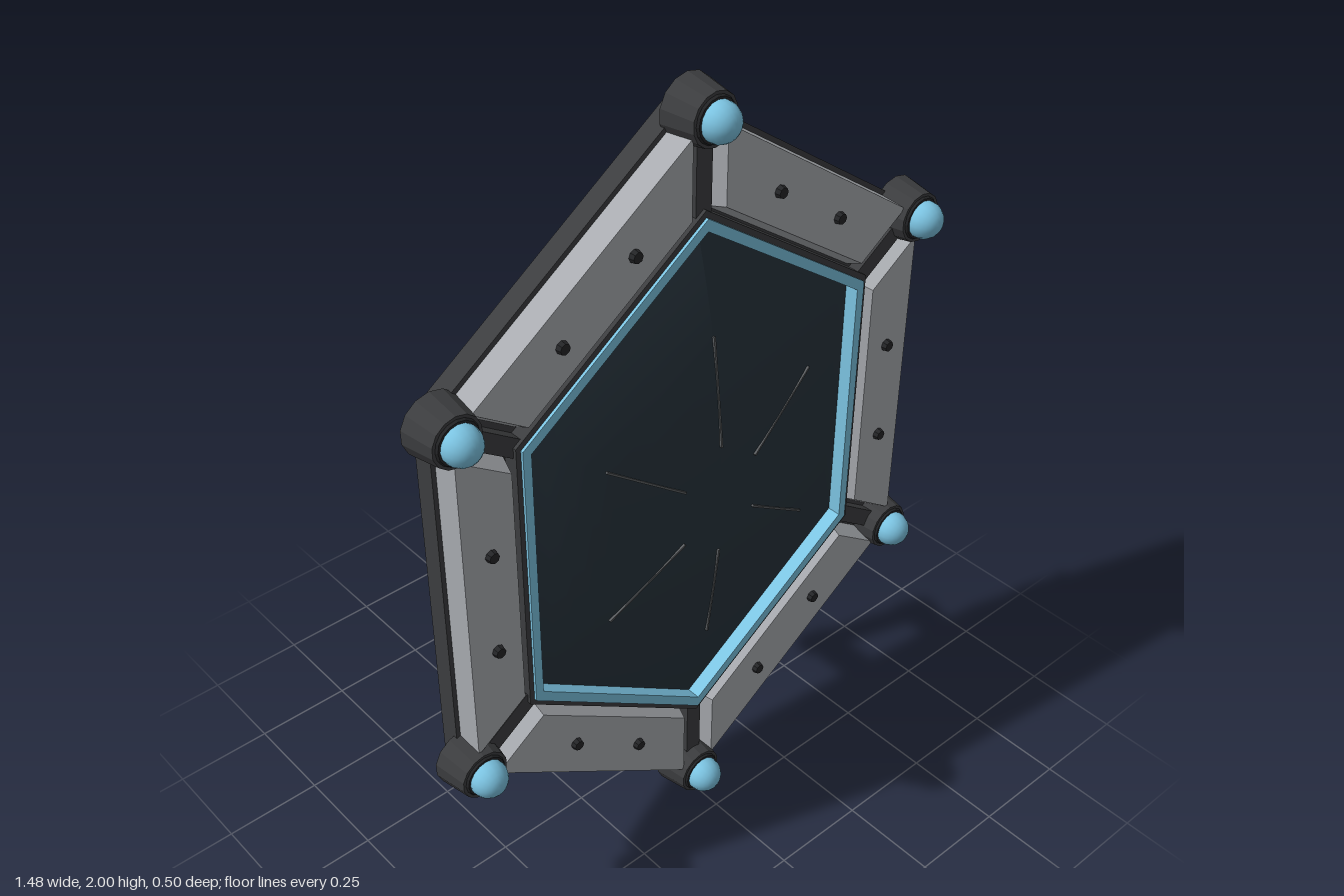
import * as THREE from 'three';

const CY = 1; // height of the hexagon's centre
const mat = (color, extra = {}) => new THREE.MeshStandardMaterial({ color, ...extra });

export function createModel() {
  const model = new THREE.Group();
  const dark = mat(0x3c3d3f, { flatShading: true });
  const black = mat(0x242527, { flatShading: true });
  const rubber = mat(0x1e1f21);
  const metal = mat(0xa9acb1, { flatShading: true });
  const glass = mat(0x27333c);
  const blue = mat(0x7cc4e2);
  const red = mat(0xb04030);

  const add = (name, geo, material, x = 0, y = 0, z = 0) => {
    const m = new THREE.Mesh(geo, material);
    m.name = name;
    m.position.set(x, y, z);
    model.add(m);
    return m;
  };

  // Corner i of the narrowed hexagon, counter-clockwise from the top
  const corner = (i, R) => {
    const a = Math.PI / 2 + (i * Math.PI) / 3;
    return new THREE.Vector2(Math.cos(a) * R * 0.8326, CY + Math.sin(a) * R);
  };
  const hex = (R) => [0, 1, 2, 3, 4, 5].map((i) => corner(i, R));

  // Rectangle with cut corners, counter-clockwise
  const octagon = (cx, cy, w, h, c) => [
    [w, h - c], [w - c, h], [c - w, h], [-w, h - c], [-w, c - h], [c - w, -h], [w - c, -h], [w, c - h],
  ].map(([x, y]) => new THREE.Vector2(cx + x, cy + y));

  // Convex solid through matching outlines at increasing z
  const loft = (...layers) => {
    const pos = [];
    const tri = (...pts) => pts.forEach(([p, z]) => pos.push(p.x, p.y, z));
    const [b, zb] = layers[0];
    const [t, zt] = layers[layers.length - 1];
    const n = b.length;
    for (let i = 1; i < n - 1; i++) {
      tri([b[0], zb], [b[i + 1], zb], [b[i], zb]);
      tri([t[0], zt], [t[i], zt], [t[i + 1], zt]);
    }
    for (let k = 0; k < layers.length - 1; k++) {
      const [p, z0] = layers[k];
      const [q, z1] = layers[k + 1];
      for (let i = 0; i < n; i++) {
        const j = (i + 1) % n;
        tri([p[i], z0], [p[j], z0], [q[j], z1]);
        tri([p[i], z0], [q[j], z1], [q[i], z1]);
      }
    }
    const g = new THREE.BufferGeometry();
    g.setAttribute('position', new THREE.Float32BufferAttribute(pos, 3));
    g.computeVertexNormals();
    return g;
  };

  // Flat hexagonal ring
  const hexRing = (R, r, z0, z1) => {
    const s = new THREE.Shape(hex(R));
    s.holes.push(new THREE.Path(hex(r)));
    return new THREE.ExtrudeGeometry(s, { depth: z1 - z0, bevelEnabled: false }).translate(0, 0, z0);
  };

  // Plate and frame
  add('backPlate', loft([hex(0.95), 0.06], [hex(0.95), 0.112]), dark);
  add('frameBase', loft([hex(0.93), 0.112], [hex(0.93), 0.128]), dark);
  add('innerBorder', hexRing(0.715, 0.69, 0.12, 0.166), dark);
  add('lightRing', hexRing(0.698, 0.668, 0.12, 0.173), blue);

  // Bevelled panels, with two bolts each
  const panelLoop = (i, inner, outer, gap) => {
    const dir = corner(i + 1, 1).sub(corner(i, 1)).normalize().multiplyScalar(gap / 0.82);
    return [corner(i, outer).add(dir), corner(i + 1, outer).sub(dir),
      corner(i + 1, inner).sub(dir), corner(i, inner).add(dir)];
  };
  for (let i = 0; i < 6; i++) {
    add('framePanel', loft(
      [panelLoop(i, 0.715, 0.935, 0.026), 0.112],
      [panelLoop(i, 0.742, 0.93, 0.048), 0.175]), metal);
    for (const f of [0.34, 0.66]) {
      const p = corner(i, 0.832).lerp(corner(i + 1, 0.832), f);
      add('panelBolt', new THREE.CylinderGeometry(0.013, 0.016, 0.016, 8).rotateX(Math.PI / 2),
        black, p.x, p.y, 0.18);
    }

    // Spoke in the gap, and corner socket with its lamp
    const a = corner(i, 0.70), b = corner(i, 0.88), d = b.clone().sub(a);
    const mid = a.clone().add(b).multiplyScalar(0.5);
    add('cornerSpoke', new THREE.BoxGeometry(d.length(), 0.044, 0.035), dark, mid.x, mid.y, 0.14)
      .rotation.z = d.angle();
    const c = corner(i, 0.925);
    add('cornerSocket', new THREE.CylinderGeometry(0.061, 0.075, 0.085, 14).rotateX(Math.PI / 2),
      dark, c.x, c.y, 0.145);
    add('cornerCollar', new THREE.TorusGeometry(0.047, 0.007, 6, 16), black, c.x, c.y, 0.187);
    add('cornerLamp', new THREE.SphereGeometry(0.046, 16, 12).rotateX(Math.PI / 2), blue, c.x, c.y, 0.199);
  }

  // Domed hexagonal mirror
  const domeZ = (s) => 0.232 - 0.095 * s * s;
  const steps = 10;
  const dome = new THREE.RingGeometry(0, 1, 6, steps, Math.PI / 2);
  const dp = dome.attributes.position;
  for (let i = 0; i < dp.count; i++) {
    const s = Math.hypot(dp.getX(i), dp.getY(i));
    dp.setXYZ(i, dp.getX(i) * 0.67 * 0.8326, CY + dp.getY(i) * 0.67, domeZ(s));
  }
  dome.computeVertexNormals();
  add('mirrorDome', dome, glass);

  // Fine radial marks on the mirror
  for (let i = 0; i < 6; i++) {
    const at = (s) => {
      const p = corner(i, 0.67 * s);
      return new THREE.Vector3(p.x, p.y, domeZ(s));
    };
    const a = at(0.22), b = at(0.63);
    const m = add('mirrorMark', new THREE.BoxGeometry(0.005, 0.012, a.distanceTo(b)), mat(0x5a5d60));
    m.position.copy(a).add(b).multiplyScalar(0.5);
    m.up.set(0, 0, 1);
    m.lookAt(b);
  }

  // Control box with indicator strip
  const box = octagon(0, 1.45, 0.185, 0.12, 0.038);
  add('controlBox', loft([octagon(0, 1.45, 0.17, 0.105, 0.034), -0.11], [box, -0.095], [box, 0.06]), dark);
  add('indicatorStrip', new THREE.BoxGeometry(0.1, 0.03, 0.008), black, 0.06, 1.515, -0.111);
  for (const x of [0.03, 0.06, 0.09]) {
    add('indicatorLight', new THREE.SphereGeometry(0.008, 10, 8), red, x, 1.515, -0.115);
  }

  // Cables with metal plugs, one on each side
  for (const s of [1, -1]) {
    const path = new THREE.CatmullRomCurve3([
      [0.18, 1.43, -0.035], [0.23, 1.425, -0.055], [0.29, 1.385, -0.064],
      [0.35, 1.325, -0.047], [0.41, 1.265, 0.002],
    ].map(([x, y, z]) => new THREE.Vector3(s * x, y, z)));
    add('cable', new THREE.TubeGeometry(path, 24, 0.013, 8), rubber);
    add('cableSocket', new THREE.CylinderGeometry(0.02, 0.02, 0.025, 10).rotateZ(Math.PI / 2),
      metal, s * 0.193, 1.43, -0.037);
    const plug = add('cablePlug', new THREE.CylinderGeometry(0.022, 0.017, 0.07, 8), metal,
      s * 0.43, 1.243, 0.022);
    plug.quaternion.setFromUnitVectors(new THREE.Vector3(0, 1, 0),
      new THREE.Vector3(s * 0.05, -0.05, 0.045).normalize());
  }

  // Bevelled pad beside the handle
  add('backPad', loft(
    [octagon(0.205, CY, 0.16, 0.245, 0.1), 0],
    [octagon(0.205, CY, 0.18, 0.268, 0.11), 0.06]), dark);

  // Carrying handle
  add('handleGrip', new THREE.CylinderGeometry(0.036, 0.036, 0.34, 14), black, 0, 1.005, -0.203);
  for (const y of [1.192, 0.817]) {
    add('handleArm', new THREE.BoxGeometry(0.066, 0.05, 0.27), dark, 0, y, -0.07);
    add('handleCap', new THREE.CylinderGeometry(0.045, 0.045, 0.066, 14), dark, 0, y, -0.205);
  }

  return model;
}
